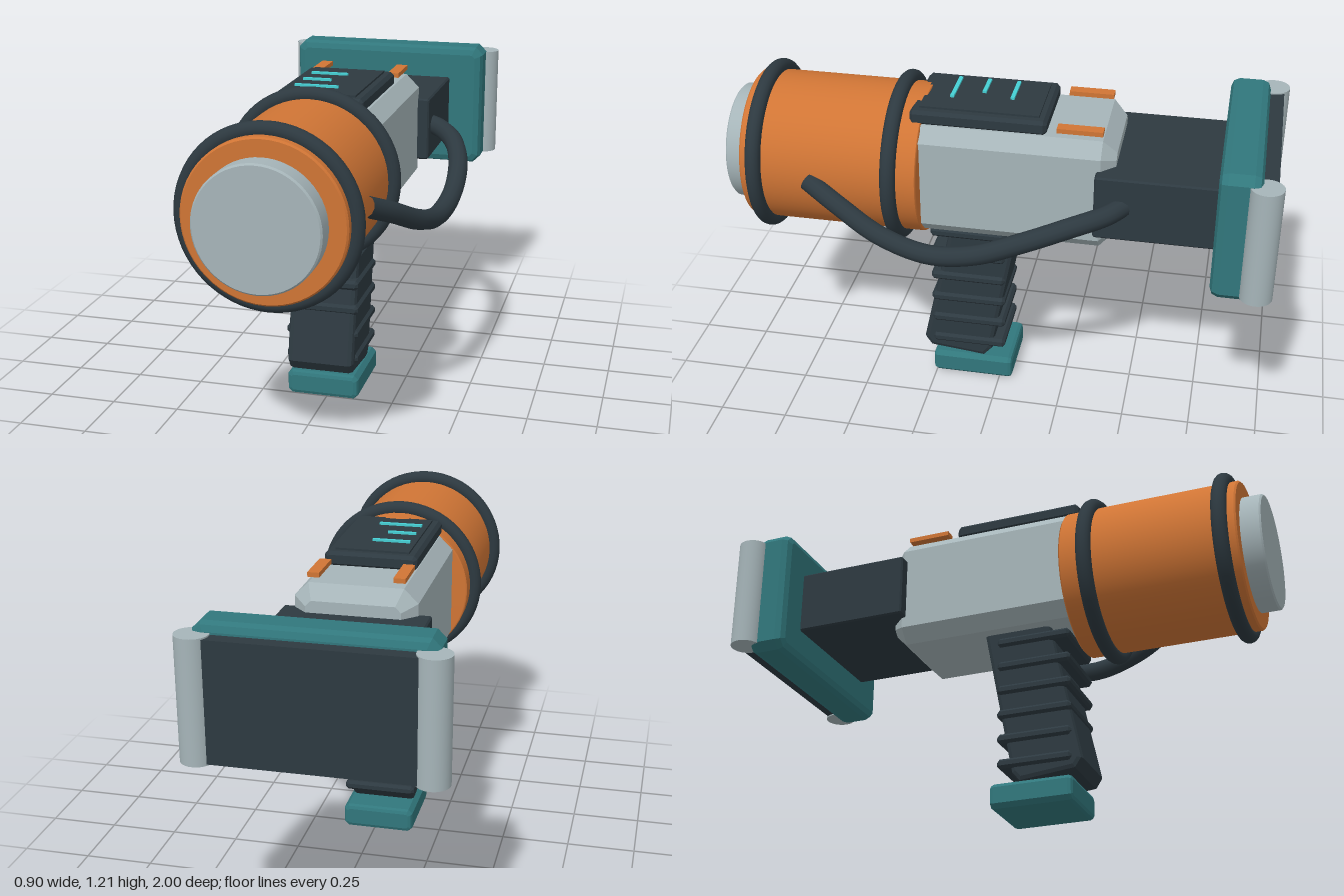
import * as THREE from 'three';

const material = (name, color) => {
  const m = new THREE.MeshStandardMaterial({ color });
  m.name = name;
  return m;
};

export function createModel() {
  const group = new THREE.Group();
  const orange = material('orange', 0xd07535);
  const grey = material('pale grey', 0xa6b5b9);
  const dark = material('dark slate', 0x2d3940);
  const teal = material('teal', 0x31777c);
  const cyan = material('bright cyan', 0x45cfd3);
  const CX = -0.015, CY = 0.89; // barrel axis

  const add = (name, geometry, mat, x = 0, y = 0, z = 0) => {
    const mesh = new THREE.Mesh(geometry, mat);
    mesh.name = name;
    mesh.position.set(x, y, z);
    group.add(mesh);
    return mesh;
  };

  // Box given by its extents
  const box = (name, mat, [x0, x1], [y0, y1], [z0, z1]) =>
    add(name, new THREE.BoxGeometry(x1 - x0, y1 - y0, z1 - z0), mat,
      (x0 + x1) / 2, (y0 + y1) / 2, (z0 + z1) / 2);

  // Box with every edge chamfered by c
  const chamferBox = (name, mat, [x0, x1], [y0, y1], [z0, z1], c, segments = 1) => {
    const outline = [
      [x0 + c, y0], [x1 - c, y0], [x1, y0 + c], [x1, y1 - c],
      [x1 - c, y1], [x0 + c, y1], [x0, y1 - c], [x0, y0 + c],
    ];
    const shape = new THREE.Shape(outline.map(([x, y]) => new THREE.Vector2(x, y)));
    const geometry = new THREE.ExtrudeGeometry(shape, {
      depth: z1 - z0 - 2 * c, bevelThickness: c, bevelSize: c,
      bevelOffset: -c, bevelSegments: segments,
    });
    return add(name, geometry, mat, 0, 0, z0 + c);
  };

  // Barrel profile with softened rims, pointing along z
  const drum = (name, mat, radius, z0, z1, r) => {
    const points = [[0, z0], [radius - r, z0], [radius, z0 + r],
      [radius, z0 + r], [radius, z1 - r], [radius, z1 - r], [radius - r, z1], [radius - r, z1], [0, z1]];
    const geometry = new THREE.LatheGeometry(points.map(([x, y]) => new THREE.Vector2(x, y)), 56);
    geometry.rotateX(Math.PI / 2);
    add(name, geometry, mat, CX, CY, 0);
  };
  drum('barrel', orange, 0.276, 0.27, 0.925, 0.006);
  drum('lens', grey, 0.213, 0.88, 1.0, 0.006);
  for (const z of [0.37, 0.868])
    add('barrelRing', new THREE.TorusGeometry(0.287, 0.028, 14, 64), dark, CX, CY, z);

  // Main body and rear block
  chamferBox('body', grey, [-0.232, 0.202], [0.68, 1.105], [-0.425, 0.35], 0.05);
  chamferBox('rearBlock', dark, [-0.277, 0.246], [0.77, 1.012], [-0.8, -0.36], 0.006);

  // Shoulder plate, back pad and side rollers
  chamferBox('shoulderPlate', teal, [-0.41, 0.38], [0.648, 1.137], [-0.93, -0.785], 0.03, 2);
  box('backPad', dark, [-0.395, 0.365], [0.68, 1.1], [-0.98, -0.9]);
  for (const side of [-1, 1])
    add('roller', new THREE.CylinderGeometry(0.057, 0.057, 0.43, 28), grey,
      CX + side * 0.382, CY, -0.943);

  // Raked grip, extruded across its width
  const gripSide = [[-0.272, 0.112], [-0.06, 0.09], [-0.03, 0.125], [0.082, 0.72], [-0.175, 0.72], [-0.297, 0.15]];
  const gripGeometry = new THREE.ExtrudeGeometry(
    new THREE.Shape(gripSide.map(([u, v]) => new THREE.Vector2(u, v))),
    { depth: 0.21, bevelThickness: 0.02, bevelSize: 0.018, bevelOffset: -0.018, bevelSegments: 2 });
  gripGeometry.rotateY(Math.PI / 2);
  add('grip', gripGeometry, dark, CX - 0.105, 0, 0);
  for (let i = 0; i < 6; i++) {
    const y = 0.163 + i * 0.0957;
    chamferBox('gripRib', dark, [-0.15, 0.12], [y - 0.018, y + 0.018], [-0.022, 0.26], 0.01);
  }
  chamferBox('gripBase', teal, [-0.15, 0.12], [0, 0.092], [-0.05, 0.26], 0.016, 2);

  // Top display with its readout lines
  chamferBox('displayFrame', dark, [-0.183, 0.15], [1.1, 1.155], [-0.175, 0.315], 0.012);
  box('displayScreen', dark, [-0.15, 0.117], [1.15, 1.162], [-0.145, 0.285]);
  for (const [z, x1] of [[-0.03, 0.008], [0.078, -0.025], [0.185, 0.03]])
    box('readoutLine', cyan, [-0.13, x1], [1.161, 1.17], [z - 0.007, z + 0.007]);

  // Sight strips hovering over the rear of the body
  for (const side of [-1, 1]) {
    const x = CX + side * 0.15;
    box('sightStrip', orange, [x - 0.021, x + 0.021], [1.123, 1.14], [-0.375, -0.213]);
  }

  // Cable from barrel to rear block
  const path = new THREE.CatmullRomCurve3([
    [0.25, 0.89, 0.67], [0.31, 0.835, 0.54], [0.365, 0.765, 0.38], [0.395, 0.726, 0.2],
    [0.414, 0.755, 0.03], [0.405, 0.82, -0.14], [0.36, 0.868, -0.29],
    [0.285, 0.888, -0.41], [0.225, 0.895, -0.46],
  ].map((p) => new THREE.Vector3(...p)));
  add('cable', new THREE.TubeGeometry(path, 60, 0.036, 12), dark);

  return group;
}
